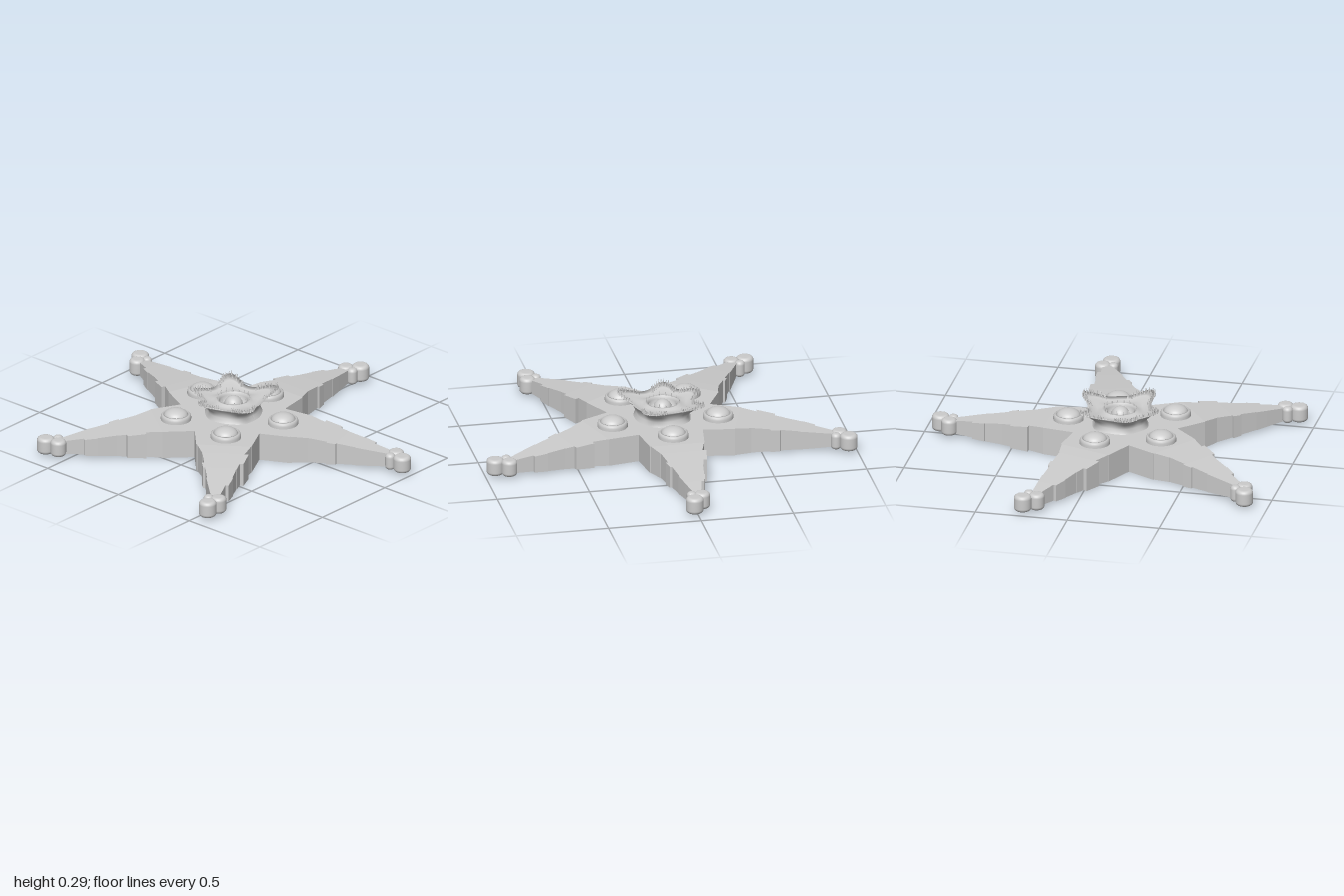
import * as THREE from 'three';

const grey = new THREE.MeshStandardMaterial({ color: 0xcccccc });
const flat = new THREE.MeshStandardMaterial({ color: 0xcccccc, flatShading: true });
const sheet = new THREE.MeshStandardMaterial({ color: 0xcccccc, side: THREE.DoubleSide });
const v2 = (x, y) => new THREE.Vector2(x, y);

function add(parent, name, geometry, material, x = 0, y = 0, z = 0) {
  const mesh = new THREE.Mesh(geometry, material);
  mesh.name = name;
  mesh.position.set(x, y, z);
  parent.add(mesh);
  return mesh;
}

// Flat centre: five truncated arm roots joined at the notches
function bodyGeometry() {
  const pts = [];
  for (let k = 0; k < 5; k++) {
    const a = -k * Math.PI * 0.4;
    for (const [x, y] of [[-0.147, 0.405], [0.147, 0.405], [0.172, 0.237]]) {
      pts.push(v2(x * Math.cos(a) - y * Math.sin(a), x * Math.sin(a) + y * Math.cos(a)));
    }
  }
  const geo = new THREE.ExtrudeGeometry(new THREE.Shape(pts), { depth: 0.152, bevelEnabled: false });
  return geo.rotateX(-Math.PI / 2);
}

// Arm height falls and its underside lifts toward the tip
const armT = d => (d - 0.405) / 0.545;
const armTop = d => 0.152 - 0.062 * Math.pow(armT(d), 1.15);
const armBottom = d => 0.022 * armT(d);

// Stepped plates: start, end, left width at each end, right width at each end
const plates = [
  [0.405, 0.49, 0.145, 0.118, 0.142, 0.108],
  [0.49, 0.59, 0.14, 0.122, 0.106, 0.088],
  [0.59, 0.64, 0.102, 0.092, 0.1, 0.088],
  [0.64, 0.74, 0.09, 0.076, 0.076, 0.058],
  [0.74, 0.81, 0.08, 0.064, 0.062, 0.046],
  [0.81, 0.95, 0.047, 0.02, 0.046, 0.012],
];

function plateGeometry([d0, d1, l0, l1, r0, r1]) {
  const geo = new THREE.BoxGeometry(1, 1, 1);
  const p = geo.attributes.position;
  for (let i = 0; i < p.count; i++) {
    const near = p.getZ(i) > 0;
    const d = near ? d0 : d1;
    const x = p.getX(i) < 0 ? -(near ? l0 : l1) : (near ? r0 : r1);
    p.setXYZ(i, x, p.getY(i) > 0 ? armTop(d) : armBottom(d), -d);
  }
  geo.computeVertexNormals();
  return geo;
}

// Upright peg with rounded ends
function pegGeometry(r) {
  const pts = [], h = 0.045, round = 0.02;
  for (const end of [-1, 1]) {
    for (let i = 0; i <= 6; i++) {
      const a = (end < 0 ? i - 6 : i) * Math.PI / 12;
      const edge = r - round + round * Math.cos(a);
      pts.push(v2(edge, end * (h - round) + round * Math.sin(a)));
    }
  }
  pts.unshift(v2(0, -h));
  pts.push(v2(0, h));
  return new THREE.LatheGeometry(pts, 28);
}

function buildArm(index) {
  const arm = new THREE.Group();
  arm.name = 'arm' + (index + 1);
  for (const plate of plates) add(arm, 'armPlate', plateGeometry(plate), flat);
  for (const [d, side, r] of [[1.0, 0.029, 0.047], [0.943, -0.023, 0.042], [0.932, 0.031, 0.027]]) {
    add(arm, 'tipPeg', pegGeometry(r), grey, side, 0.06, -d);
  }
  // Raised stud: rimmed collar and low dome
  const collar = [[0.081, 0.145], [0.081, 0.165], [0.078, 0.177], [0.072, 0.182], [0.065, 0.182], [0.063, 0.17]];
  add(arm, 'studCollar', new THREE.LatheGeometry(collar.map(p => v2(...p)), 36), sheet, 0, 0, -0.3);
  const dome = new THREE.SphereGeometry(0.065, 32, 10, 0, Math.PI * 2, 0, Math.PI / 2);
  dome.scale(1, 0.6, 1);
  add(arm, 'studDome', dome, grey, 0, 0.171, -0.3);
  arm.rotation.y = -index * Math.PI * 0.4;
  return arm;
}

// Five unevenly spaced lobes around the frill
const lobes = [63, 137, 203, 257, 329].map(THREE.MathUtils.degToRad);
const lobeSizes = [0.09, 0.09, 0.06, 0.055, 0.09];
function lobe(angle) {
  let sum = 0;
  lobes.forEach((c, i) => {
    const gap = Math.atan2(Math.sin(angle - c), Math.cos(angle - c));
    sum += lobeSizes[i] * Math.exp(-((gap / 0.3) ** 2));
  });
  return sum;
}

// Frill profile: radius, height, share of the lobe
const frill = [
  [0.15, 0.15, 0.1], [0.135, 0.175, 0.15], [0.135, 0.198, 0.35], [0.15, 0.222, 0.7], [0.166, 0.238, 1],
  [0.145, 0.228, 0.7], [0.122, 0.222, 0.35], [0.102, 0.225, 0.1], [0.092, 0.236, 0],
  [0.083, 0.236, 0], [0.075, 0.222, 0], [0.07, 0.19, 0], [0, 0.185, 0],
];
function frillGeometry() {
  const geo = new THREE.LatheGeometry(frill.map(([r, y]) => v2(r, y)), 90);
  const p = geo.attributes.position;
  for (let i = 0; i < p.count; i++) {
    const [r, y, share] = frill[i % frill.length];
    const a = Math.floor(i / frill.length) / 90 * Math.PI * 2;
    const out = lobe(a) * share;
    p.setXYZ(i, (r + out) * Math.cos(a), y + out * 0.3, -(r + out) * Math.sin(a));
  }
  geo.computeVertexNormals();
  return geo;
}

function buildFlower() {
  const flower = new THREE.Group();
  flower.name = 'flower';
  add(flower, 'frill', frillGeometry(), sheet);
  add(flower, 'centreKnob', new THREE.SphereGeometry(0.05, 28, 18), grey, 0, 0.2, 0);

  let seed = 7;
  const rand = () => (seed = (seed * 16807) % 2147483647) / 2147483647;
  const spike = new THREE.ConeGeometry(0.0055, 0.03, 6);
  spike.translate(0, 0.013, 0);
  const place = (a, r, y, lean) => {
    const m = add(flower, 'spike', spike, grey, r * Math.cos(a), y, -r * Math.sin(a));
    m.rotation.set(0, a, -lean);
    m.scale.setScalar(0.7 + 0.35 * rand());
  };
  // Two rows of spikes along each lobe, one row around the mouth
  lobes.forEach(c => {
    for (let i = -6; i <= 6; i++) {
      for (const inset of [0.006, 0.026]) {
        const a = c + i * 0.062 + (rand() - 0.5) * 0.03;
        const out = lobe(a);
        place(a, 0.166 + out - inset, 0.236 + out * 0.3 - inset * 0.4, (rand() - 0.4) * 0.6);
      }
    }
  });
  for (let i = 0; i < 16; i++) place(i / 16 * Math.PI * 2, 0.087, 0.234, -0.25 + 0.4 * rand());
  flower.position.z = -0.018;
  return flower;
}

export function createModel() {
  const model = new THREE.Group();
  model.name = 'starfish';
  const star = new THREE.Group();
  star.name = 'star';
  add(star, 'body', bodyGeometry(), flat);
  for (let k = 0; k < 5; k++) star.add(buildArm(k));
  star.add(buildFlower());
  star.position.set(-0.012, 0, 0.085);
  model.add(star);
  return model;
}
